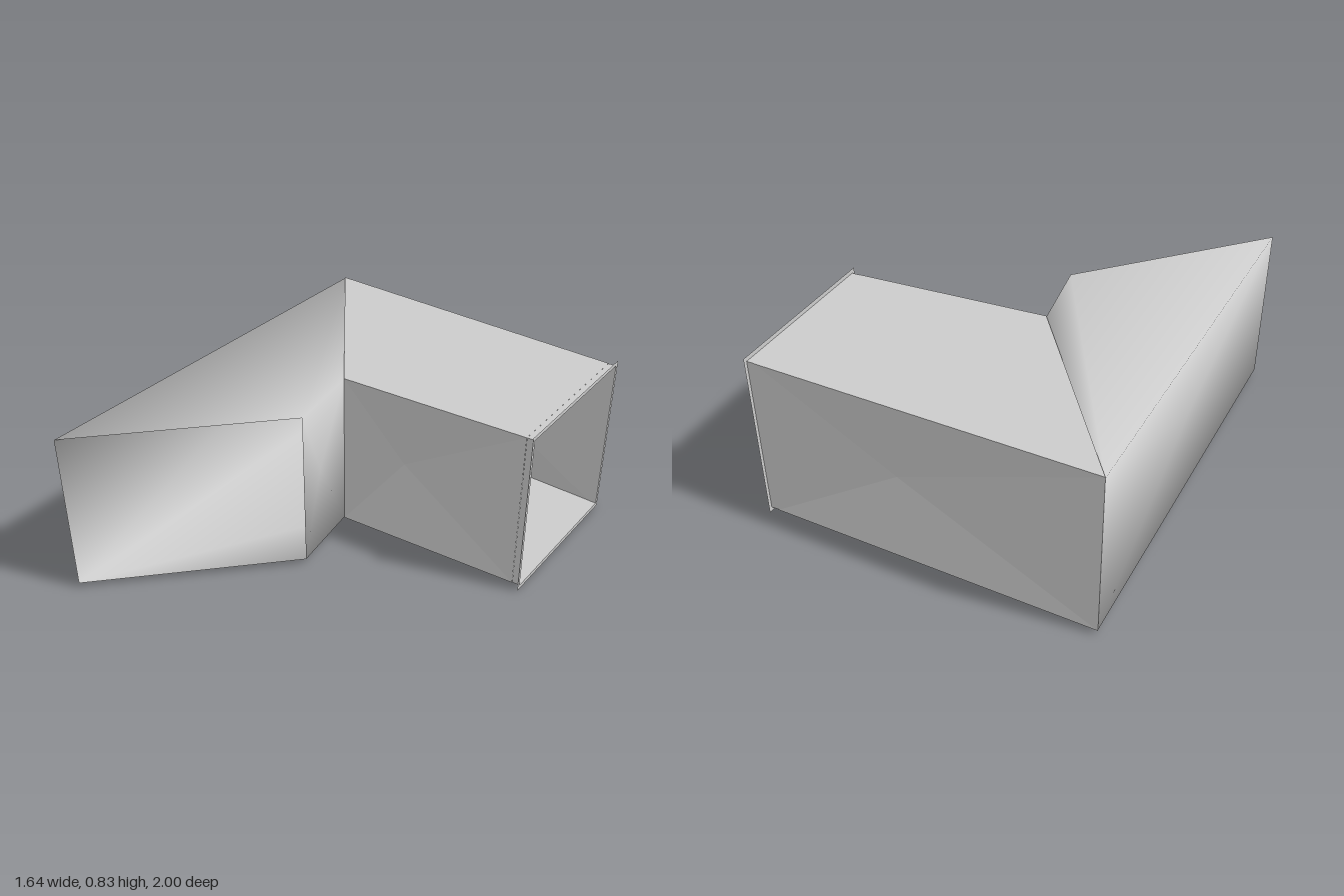
import * as THREE from 'three';

const grey = new THREE.MeshStandardMaterial({ color: 0xcccccc, side: THREE.DoubleSide });

const LOW = 0.02, HIGH = 0.807, MID = (LOW + HIGH) / 2;

// Plan corners as [x, z]
const outerBend = [-0.77, -1];
const innerBend = [-0.135, -0.12];
const innerEnd = [-0.085, 0.255];
const outerEnd = [-0.82, 1];
const mouthBack = [0.78, -0.955];
const mouthFront = [0.78, -0.165];

const at = ([x, z], y) => [x, y, z];

function mesh(name, positions, index) {
  const geo = new THREE.BufferGeometry();
  geo.setAttribute('position', new THREE.Float32BufferAttribute(positions, 3));
  if (index) geo.setIndex(index);
  geo.computeVertexNormals();
  const m = new THREE.Mesh(geo, grey);
  m.name = name;
  return m;
}

// Flat-sided panel: a fan of triangles from an apex to each edge of a loop
function fan(name, loop, apex) {
  const pos = [];
  loop.forEach((p, i) => pos.push(...apex, ...p, ...loop[(i + 1) % loop.length]));
  return mesh(name, pos);
}

// Upright wall between two plan corners, creased inward to an apex
function creasedWall(name, a, b, apex) {
  return fan(name, [at(a, LOW), at(a, HIGH), at(b, HIGH), at(b, LOW)], apex);
}

// Flat horizontal sheet of the straight duct
function sheet(name, y, up) {
  const loop = [outerBend, mouthBack, mouthFront, innerBend].map((p) => at(p, y));
  if (up) loop.reverse();
  return fan(name, loop, [0.16, y, -0.55]);
}

// Angled arm: a smooth-shaded four-sided sleeve, open at both ends
function createArm() {
  const low = LOW + 0.005, high = HIGH - 0.005;
  const ring = (outer, inner) => [at(outer, low), at(outer, high), at(inner, high), at(inner, low)];
  const points = [...ring(outerBend, innerBend), ...ring(outerEnd, innerEnd)];
  const index = [];
  // Sides in turn: outer wall, top, inner wall, bottom
  for (let i = 0; i < 4; i++) {
    const j = (i + 1) % 4;
    const loop = [i, i + 4, j + 4, j];
    if (i % 2) {
      index.push(loop[0], loop[1], loop[2], loop[0], loop[2], loop[3]);
      continue;
    }
    // Upright walls are creased slightly inward at their middle
    const middle = [0, 1, 2].map((k) => loop.reduce((sum, n) => sum + points[n][k], 0) / 4);
    middle[0] += i === 0 ? 0.025 : -0.025;
    const apex = points.push(middle) - 1;
    loop.forEach((n, k) => index.push(apex, n, loop[(k + 1) % 4]));
  }
  return mesh('angledArm', points.flat(), index);
}

// Mouth: short collar and a thin flange around the opening
function createMouth() {
  const group = new THREE.Group();
  group.name = 'mouth';
  const back = 0.78, lip = 0.818, cz = -0.56;
  const rect = (x, hz, hy) => [
    [x, MID - hy, cz + hz], [x, MID - hy, cz - hz], [x, MID + hy, cz - hz], [x, MID + hy, cz + hz],
  ];
  const band = (name, a, b) => {
    const pos = [];
    for (let i = 0; i < 4; i++) {
      const j = (i + 1) % 4;
      pos.push(...a[i], ...a[j], ...b[j], ...a[i], ...b[j], ...b[i]);
    }
    return mesh(name, pos);
  };
  const collar = rect(lip, 0.393, 0.393);
  group.add(
    band('collar', collar, rect(back, 0.393, 0.393)),
    band('flange', rect(lip, 0.41, MID), collar),
  );
  return group;
}

export function createModel() {
  const model = new THREE.Group();
  model.name = 'ductElbow';

  // Straight duct with cross-creased side walls
  const duct = new THREE.Group();
  duct.name = 'straightDuct';
  duct.add(
    sheet('ductTop', HIGH, true),
    sheet('ductBottom', LOW, false),
    creasedWall('ductBackWall', outerBend, mouthBack, [0.16, MID, -0.925]),
    creasedWall('ductFrontWall', mouthFront, innerBend, [0.16, MID, -0.19]),
  );

  model.add(duct, createArm(), createMouth());
  return model;
}
